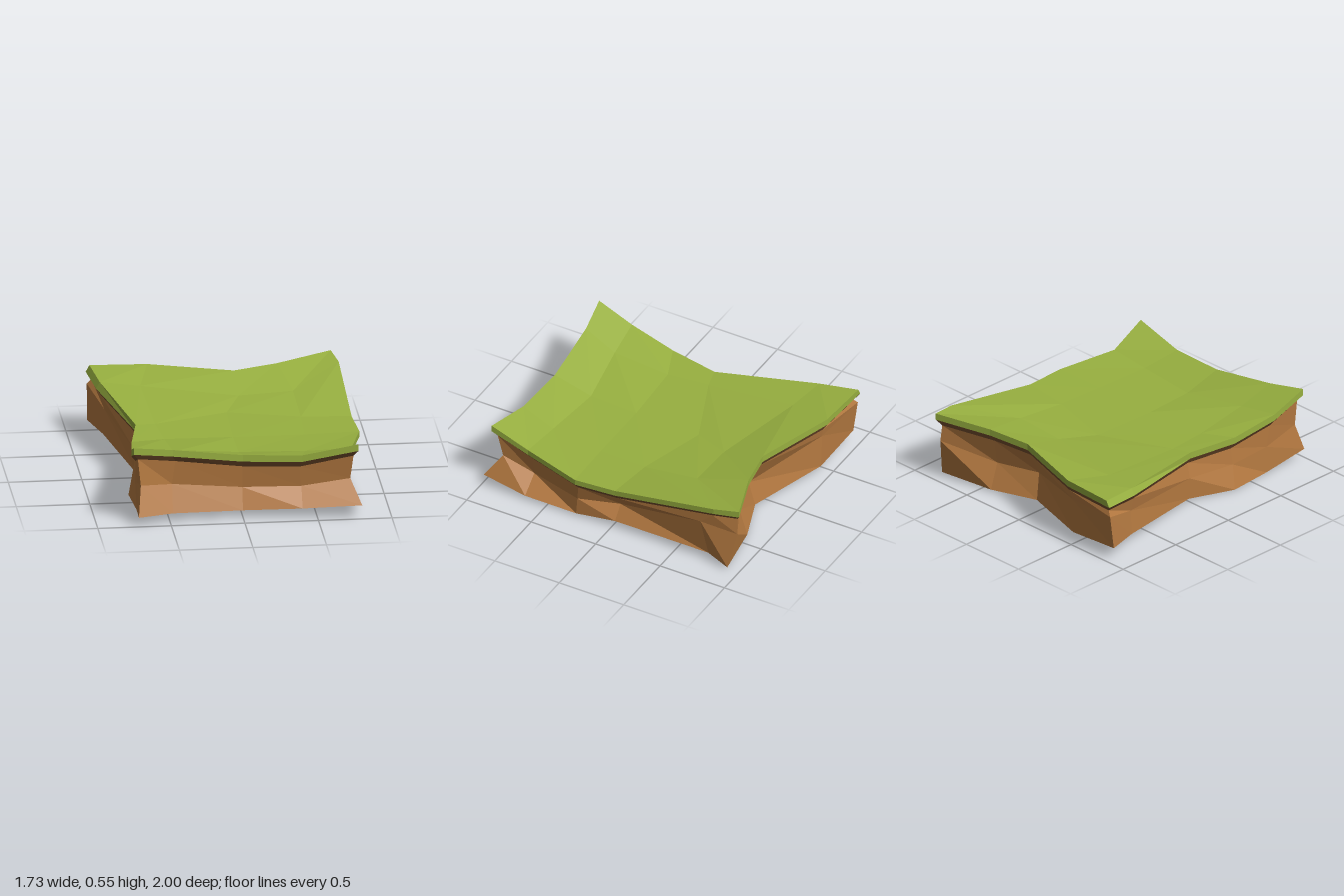
import * as THREE from 'three';

// Every outline runs front-edge left to right, then round the +x side, the back and the -x side.
const grassRim = [
  [-0.75, 0.55, 0.96], [-0.48, 0.51, 0.91], [0, 0.445, 0.88], [0.4, 0.435, 0.9], [0.78, 0.51, 0.93],
  [0.76, 0.39, 0.66], [0.86, 0.36, 0.24], [0.84, 0.365, -0.06], [0.835, 0.49, -0.82], [0.8, 0.51, -1],
  [0.42, 0.48, -0.86], [0.12, 0.46, -0.8], [-0.45, 0.465, -0.98], [-0.84, 0.465, -1],
  [-0.8, 0.44, -0.72], [-0.635, 0.38, 0], [-0.7, 0.385, 0.36], [-0.74, 0.45, 0.7],
];
const soilMiddle = [
  [-0.7, 0.27, 0.93], [-0.48, 0.25, 0.86], [0, 0.2, 0.83], [0.4, 0.2, 0.85], [0.73, 0.25, 0.87],
  [0.69, 0.155, 0.65], [0.79, 0.15, 0.26], [0.71, 0.16, -0.03], [0.8, 0.32, -0.7], [0.78, 0.3, -0.975],
  [0.42, 0.2, -0.79], [0.12, 0.2, -0.69], [-0.45, 0.31, -0.94], [-0.86, 0.34, -0.985],
  [-0.77, 0.25, -0.7], [-0.63, 0.18, 0], [-0.68, 0.17, 0.36], [-0.7, 0.2, 0.66],
];
const soilFoot = [
  [-0.72, 0.065, 1], [-0.48, 0.06, 0.92], [0, 0.05, 0.88], [0.4, 0.065, 0.93], [0.8, 0.09, 0.98],
  [0.8, 0.03, 0.66], [0.79, 0.02, 0.27], [0.77, 0.05, -0.02], [0.78, 0.06, -0.75], [0.82, 0.025, -0.92],
  [0.42, 0.015, -0.85], [0.1, 0.012, -0.73], [-0.45, 0.05, -0.93], [-0.86, 0.09, -0.95],
  [-0.78, 0.075, -0.7], [-0.62, 0.02, 0], [-0.72, 0, 0.34], [-0.7, 0.005, 0.66],
];
// Inner points of the lawn, rows from front to back
const lawn = [
  [[-0.45, 0.415, 0.67], [0, 0.37, 0.6], [0.45, 0.375, 0.64]],
  [[-0.47, 0.365, 0.27], [0, 0.355, 0.25], [0.49, 0.355, 0.25]],
  [[-0.5, 0.37, -0.03], [0.01, 0.36, -0.24], [0.5, 0.36, -0.1]],
  [[-0.53, 0.42, -0.67], [0.12, 0.385, -0.5], [0.49, 0.405, -0.5]],
];

const quad = (out, a, b, c, d) => out.push(...a, ...b, ...c, ...a, ...c, ...d);

// Wall strip between an upper and a lower outline
function band(out, upper, lower) {
  upper.forEach((p, i) => {
    const j = (i + 1) % upper.length;
    quad(out, p, lower[i], lower[j], upper[j]);
  });
}

function makeMesh(name, positions, color) {
  const geometry = new THREE.BufferGeometry();
  geometry.setAttribute('position', new THREE.Float32BufferAttribute(positions, 3));
  geometry.computeVertexNormals();
  const material = new THREE.MeshStandardMaterial({ color, flatShading: true });
  const mesh = new THREE.Mesh(geometry, material);
  mesh.name = name;
  return mesh;
}

export function createModel() {
  const model = new THREE.Group();
  model.name = 'groundTile';

  // Lower lip of the turf, and the soil tucked in beneath it
  const turfLip = grassRim.map(([x, y, z], i) => [
    x - (i === 13 || i === 14 ? 0.025 : 0), y - (i > 4 && i < 9 ? 0.04 : 0.047), z]);
  const soilTop = turfLip.map(([x, y, z]) => [x * 0.96, y - 0.042, z * 0.97]);

  // Turf: a grid of 6 rows and 5 columns with a thin edge
  const turf = [];
  const rows = [
    grassRim.slice(0, 5),
    ...lawn.map((row, r) => [grassRim[17 - r], ...row, grassRim[5 + r]]),
    grassRim.slice(9, 14).reverse(),
  ];
  for (let r = 0; r < rows.length - 1; r++) {
    for (let c = 0; c < 4; c++) {
      quad(turf, rows[r][c], rows[r][c + 1], rows[r + 1][c + 1], rows[r + 1][c]);
    }
  }
  band(turf, grassRim, turfLip);
  model.add(makeMesh('grassTop', turf, 0x98b040));

  // Dark shaded overhang under the turf
  const overhang = [];
  band(overhang, turfLip, soilTop);
  model.add(makeMesh('soilOverhang', overhang, 0x7a5230));

  // Soil: pinched walls and a shallow underside
  const soil = [];
  const base = soilFoot.map(([x, y, z]) => [x * 0.6, y * 0.3, z * 0.6]);
  band(soil, soilTop, soilMiddle);
  band(soil, soilMiddle, soilFoot);
  band(soil, soilFoot, base);
  base.forEach((p, i) => soil.push(...p, 0, 0.01, 0, ...base[(i + 1) % base.length]));
  model.add(makeMesh('soilBlock', soil, 0xb87c42));

  return model;
}
